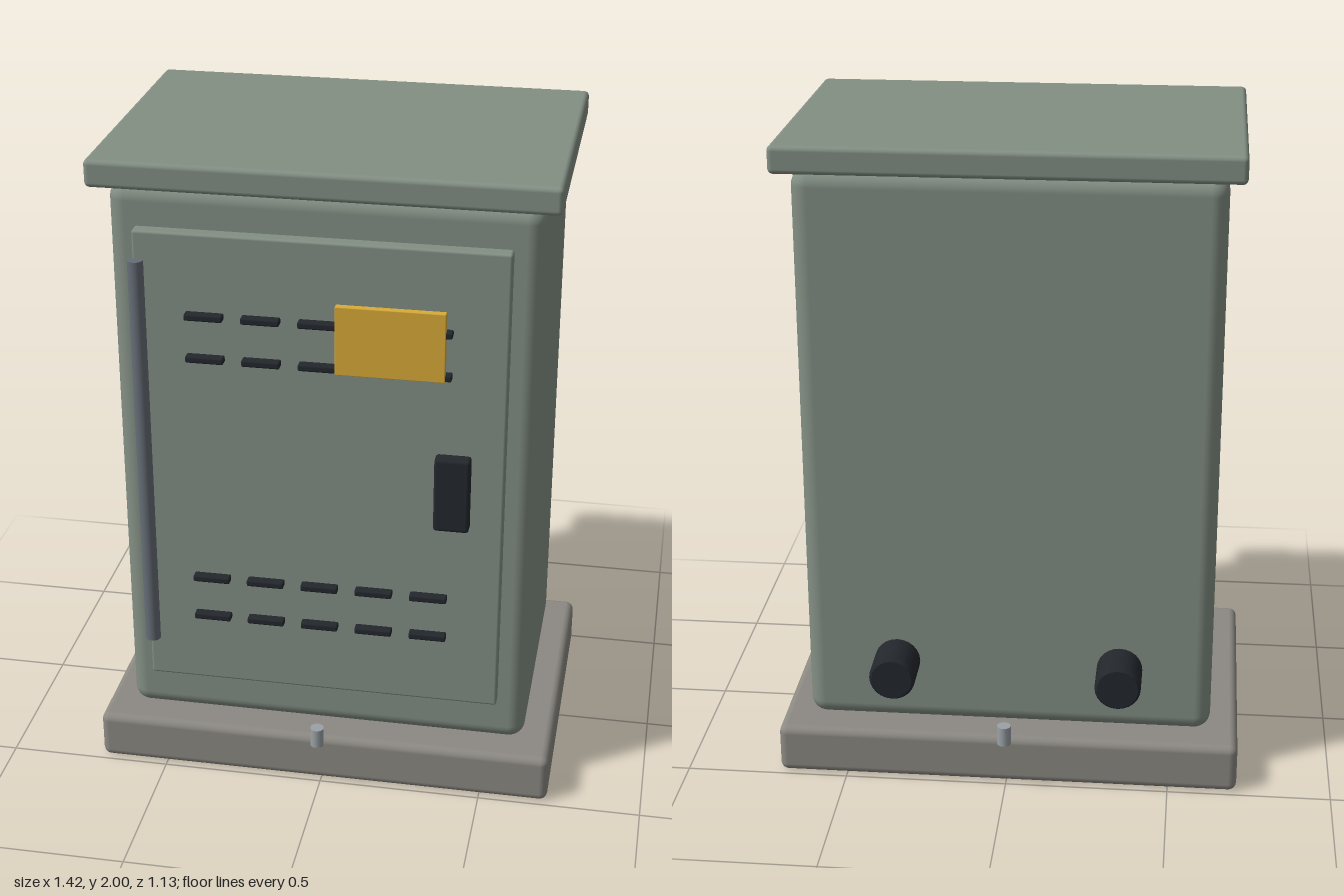
import * as THREE from 'three';
import { RoundedBoxGeometry } from 'three/addons/geometries/RoundedBoxGeometry.js';

const mat = (color) => new THREE.MeshStandardMaterial({ color });

export function createModel() {
  const group = new THREE.Group();
  const green = mat(0x838f84), concrete = mat(0x8c8983), black = mat(0x23272c);
  const steel = mat(0x666d76), zinc = mat(0x9aa1a6), yellow = mat(0xd9ab38);

  const add = (name, geometry, material, x, y, z) => {
    const mesh = new THREE.Mesh(geometry, material);
    mesh.name = name;
    mesh.position.set(x, y, z);
    group.add(mesh);
    return mesh;
  };
  // Rounded box given by its limits on each axis
  const box = (name, material, [x0, x1], [y0, y1], [z0, z1], r, segments = 3) =>
    add(name, new RoundedBoxGeometry(x1 - x0, y1 - y0, z1 - z0, segments, r), material,
      (x0 + x1) / 2, (y0 + y1) / 2, (z0 + z1) / 2);

  // Plinth, cabinet and overhanging roof
  box('plinth', concrete, [-0.712, 0.712], [0.005, 0.16], [-0.487, 0.487], 0.025);
  box('cabinetBody', green, [-0.625, 0.625], [0.165, 1.918], [-0.408, 0.408], 0.05, 4);
  box('roof', green, [-0.673, 0.673], [1.918, 2], [-0.46, 0.46], 0.015);

  // Door with hinge rod, handle and label plate
  box('door', green, [-0.542, 0.542], [0.325, 1.8], [0.413, 0.459], 0.008, 2);
  add('hinge', new THREE.CylinderGeometry(0.023, 0.023, 1.255, 20), steel, -0.53, 1.088, 0.47);
  box('handle', black, [0.342, 0.447], [0.945, 1.18], [0.468, 0.513], 0.01, 2);
  box('labelPlate', yellow, [0.052, 0.368], [1.42, 1.63], [0.486, 0.508], 0.003, 1);

  // Two pairs of vent rows on the door
  for (const y of [1.563, 1.432, 0.705, 0.573]) {
    for (let i = -2; i <= 2; i++) {
      const x = i * 0.165;
      box('ventSlot', black, [x - 0.056, x + 0.056], [y - 0.01, y + 0.01], [0.474, 0.505], 0.005, 2);
    }
  }

  // Cable glands on the back, with a bevelled outer rim
  const profile = [[0, 0], [0.07, 0], [0.07, 0], [0.07, 0.126], [0.07, 0.126], [0.062, 0.137], [0.062, 0.137], [0, 0.137]]
    .map(([r, h]) => new THREE.Vector2(r, h));
  for (const side of [-1, 1]) {
    const gland = add('cableGland', new THREE.LatheGeometry(profile, 24), black, side * 0.343, 0.375, -0.405);
    gland.rotation.x = -Math.PI / 2;
  }

  // Anchor pins in front and behind
  for (const side of [-1, 1]) {
    add('anchorPin', new THREE.CylinderGeometry(0.021, 0.021, 0.062, 16), zinc, 0, 0.205, side * 0.543);
  }
  return group;
}
